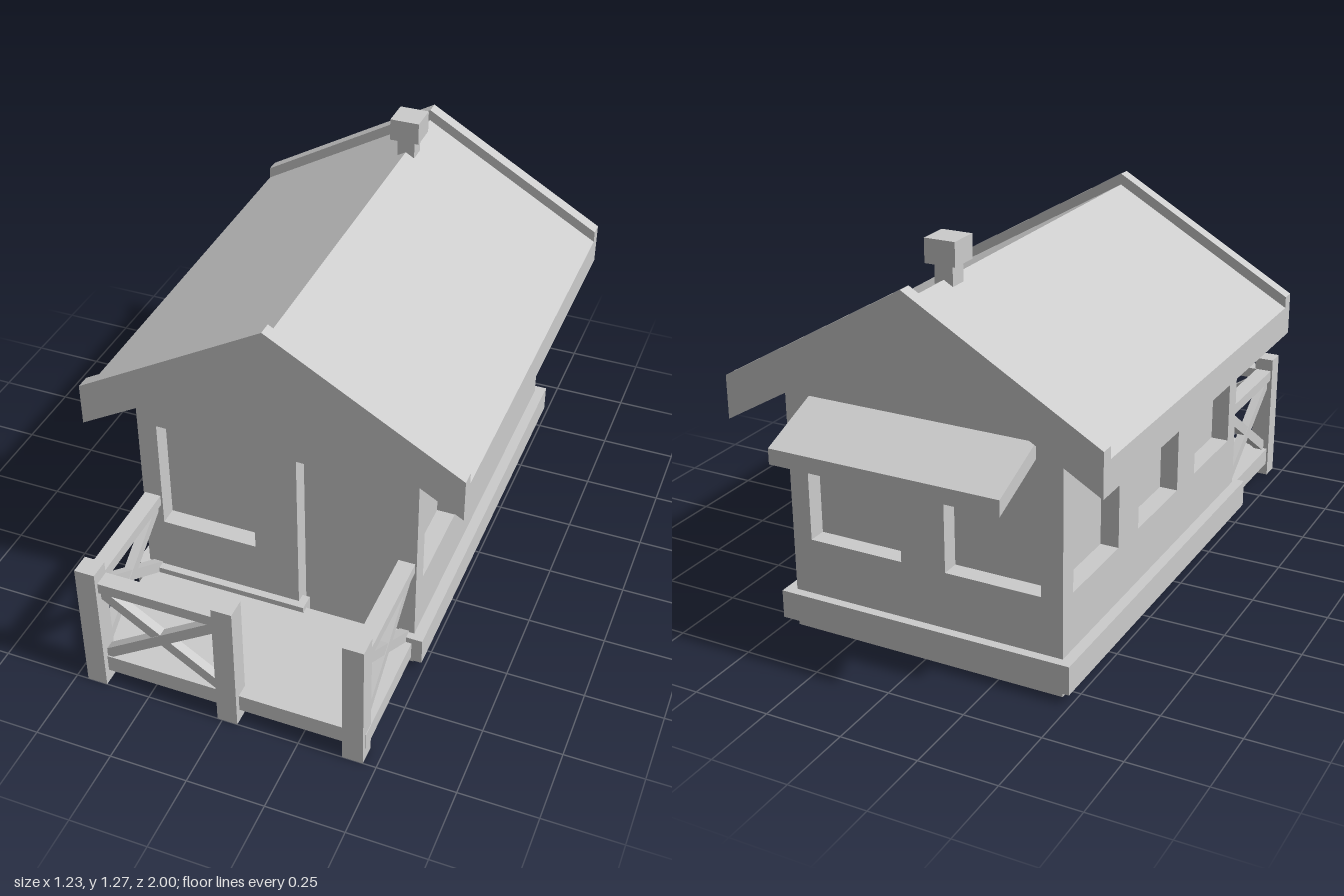
import * as THREE from 'three';

const grey = new THREE.MeshStandardMaterial({ color: 0xcccccc, flatShading: true, side: THREE.DoubleSide });
const W = 0.46, FRONT = 0.56, BACK = -0.79, MID = (FRONT + BACK) / 2, HALF = (FRONT - BACK) / 2;
const EAVE = 0.784, PEAK = 1.05, RECESS = 0.06;

function add(parent, name, geometry) {
  const mesh = new THREE.Mesh(geometry, grey);
  mesh.name = name;
  parent.add(mesh);
  return mesh;
}

function group(parent, name) {
  const g = new THREE.Group();
  g.name = name;
  parent.add(g);
  return g;
}

// Box given by its extents
function box(parent, name, x0, x1, y0, y1, z0, z1) {
  const mesh = add(parent, name, new THREE.BoxGeometry(x1 - x0, y1 - y0, z1 - z0));
  mesh.position.set((x0 + x1) / 2, (y0 + y1) / 2, (z0 + z1) / 2);
  return mesh;
}

const polygon = pts => pts.map(p => new THREE.Vector2(...p));

function extrude(parent, name, pts, z0, z1) {
  const geo = new THREE.ExtrudeGeometry(new THREE.Shape(polygon(pts)), { depth: z1 - z0, bevelEnabled: false });
  return add(parent, name, geo.translate(0, 0, z0));
}

// Sheet wall facing local +z; each opening [x0, x1, y0, y1] becomes an inset panel.
// Openings that reach the ground are notched out of the outline instead of being holes.
function wall(parent, name, outline, openings, x, z, rotation) {
  const g = group(parent, name);
  g.position.set(x, 0, z);
  g.rotation.y = rotation;
  const shape = new THREE.Shape(polygon(outline));
  for (const [x0, x1, y0, y1] of openings) {
    if (y0 > 0) shape.holes.push(new THREE.Path(polygon([[x0, y0], [x0, y1], [x1, y1], [x1, y0]])));
    const inset = box(g, y0 > 0 ? 'windowRecess' : 'doorRecess', x0, x1, y0, y1, -RECESS, 0);
    // Leave the outward face of the recess open
    const index = Array.from(inset.geometry.index.array);
    index.splice(24, 6);
    inset.geometry.setIndex(index);
    inset.geometry.clearGroups();
  }
  add(g, name + 'Sheet', new THREE.ShapeGeometry(shape));
}

// Chevron profile between two heights above the ridge underside
function chevron(thickness) {
  const ex = 0.615, ey = 0.695;
  return [[-ex, ey], [0, PEAK], [ex, ey], [ex, ey + thickness], [0, PEAK + thickness], [-ex, ey + thickness]];
}

// Railing panel of local length L along x: top rail and crossed braces
function railing(parent, name, L, x, z, rotation) {
  const g = group(parent, name);
  g.position.set(x, 0, z);
  g.rotation.y = rotation;
  box(g, 'handrail', -L / 2, L / 2, 0.38, 0.417, -0.027, 0.027);
  const rise = 0.265, run = L;
  for (const s of [-1, 1]) {
    const brace = add(g, 'crossBrace', new THREE.BoxGeometry(Math.hypot(run, rise), 0.035, 0.03));
    brace.position.set(0, 0.24, s * 0.001);
    brace.rotation.z = s * Math.atan2(rise, run);
  }
}

export function createModel() {
  const model = new THREE.Group();
  model.name = 'cabin';

  // Walls with inset windows and door
  const house = group(model, 'walls');
  const gable = [[W, 0], [W, EAVE], [0, PEAK], [-W, EAVE], [-W, 0]];
  const leftWindow = [-0.395, -0.075, 0.31, 0.7], rightWindow = [0.075, 0.39, 0.31, 0.7];
  const door = [0.07, 0.39, 0, 0.7];
  const doorNotch = [[0.07, 0], [0.07, 0.7], [0.39, 0.7], [0.39, 0]];
  wall(house, 'frontWall', [...doorNotch, ...gable], [leftWindow, door], 0, FRONT, 0);
  wall(house, 'backWall', gable, [leftWindow, rightWindow], 0, BACK, Math.PI);
  const side = [[-HALF, 0], [HALF, 0], [HALF, EAVE], [-HALF, EAVE]];
  const sideWindows = [-0.455, 0, 0.455].map(c => [c - 0.155, c + 0.155, 0.31, 0.7]);
  for (const s of [-1, 1]) wall(house, 'sideWall', side, sideWindows, s * W, MID, s * Math.PI / 2);

  // Skirting board, broken at the door
  const skirt = group(model, 'skirting');
  const y0 = 0.032, y1 = 0.125;
  for (const s of [-1, 1]) {
    const a = s * 0.435, b = s * 0.495;
    box(skirt, 'sideSkirting', Math.min(a, b), Math.max(a, b), y0, y1, -0.82, 0.585);
  }
  box(skirt, 'backSkirting', -0.435, 0.435, y0, y1, -0.82, -0.76);
  box(skirt, 'frontSkirting', -0.435, 0.095, y0, y1, 0.53, 0.585);
  box(skirt, 'frontSkirting', 0.365, 0.435, y0, y1, 0.53, 0.585);

  // Roof slab with raised boards on both gables
  const roof = group(model, 'roof');
  extrude(roof, 'roofSlab', chevron(0.102), -0.82, 0.575);
  extrude(roof, 'frontBargeboard', chevron(0.14), 0.575, 0.62);
  extrude(roof, 'backBargeboard', chevron(0.14), -0.865, -0.82);

  // Chimney
  const chimney = group(model, 'chimney');
  box(chimney, 'chimneyShaft', -0.03, 0.03, 1.1, 1.2, -0.632, -0.572);
  box(chimney, 'chimneyCap', -0.05, 0.05, 1.2, 1.275, -0.652, -0.552);

  // Sloping canopy over the back windows (profile drawn along z, turned sideways)
  const canopy = extrude(model, 'backCanopy',
    [[0.79, 0.735], [1, 0.65], [1, 0.7], [0.79, 0.786]], -0.375, 0.375);
  canopy.rotation.y = Math.PI / 2;

  // Porch deck, posts and railings
  const porch = group(model, 'porch');
  box(porch, 'deck', -0.455, 0.46, 0.045, 0.105, FRONT, 0.98);
  for (const x of [-0.428, 0.017, 0.425])
    box(porch, 'post', x - 0.033, x + 0.033, 0, 0.46, 0.935, 1);
  railing(porch, 'frontRailing', 0.4, -0.205, 0.96, 0);
  for (const s of [-1, 1]) railing(porch, 'sideRailing', 0.39, s * 0.428, 0.752, Math.PI / 2);

  return model;
}
